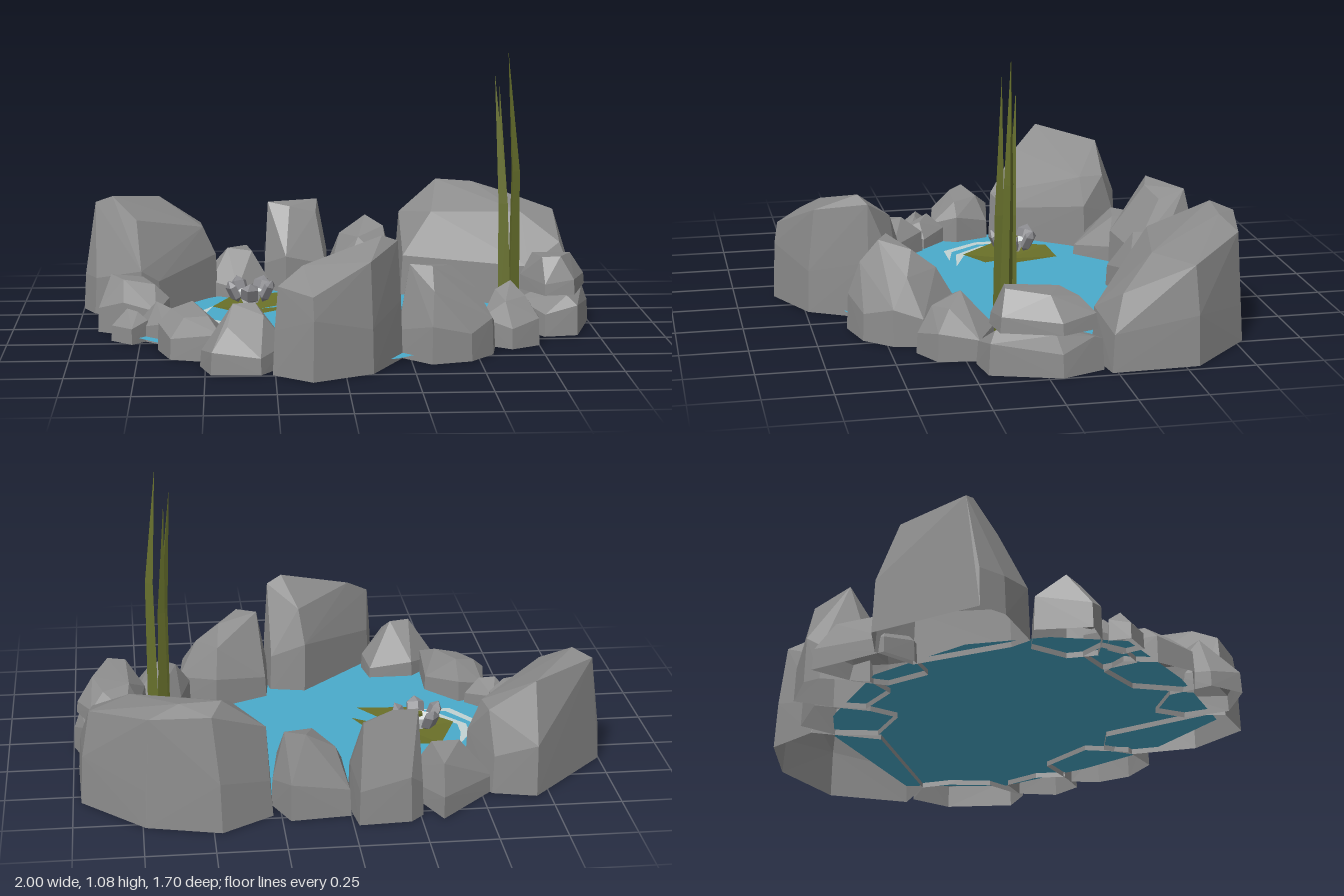
import * as THREE from 'three';
import { ConvexGeometry } from 'three/addons/geometries/ConvexGeometry.js';

const paint = (name, color, extra = {}) =>
  new THREE.MeshStandardMaterial({ name, color, flatShading: true, side: THREE.DoubleSide, ...extra });

export function createModel() {
  const pond = new THREE.Group();
  pond.name = 'rockPond';

  const stone = paint('stone grey', 0x8c8c8c);
  const waterBlue = paint('water blue', 0x4aabcb);
  const rippleWhite = paint('ripple white', 0xc3d3d3);
  const leafGreen = paint('leaf olive', 0x6a7029);
  const reedGreen = paint('reed olive', 0x67702c);
  const petalGrey = paint('petal grey', 0x8a8a8e);
  const petalWhite = paint('petal white', 0xe6eaea);

  const add = (name, geometry, material, parent = pond) => {
    const mesh = new THREE.Mesh(geometry, material);
    mesh.name = name;
    parent.add(mesh);
    return mesh;
  };

  // Flat polygon in the ground plane from [x, z] points
  const plate = (pts) => {
    const shape = new THREE.Shape(pts.map(([x, z]) => new THREE.Vector2(x, -z)));
    return new THREE.ShapeGeometry(shape).rotateX(-Math.PI / 2);
  };

  // Triangle mesh from corner positions and index
  const faces = (pts, index) => {
    const g = new THREE.BufferGeometry();
    g.setAttribute('position', new THREE.Float32BufferAttribute(pts.flat(), 3));
    g.setIndex(index);
    const flat = g.toNonIndexed();
    flat.computeVertexNormals();
    return flat;
  };

  // Boulder: hull of a footprint, the same outline at shoulder height, and crown points; left open below
  const rocks = new THREE.Group();
  rocks.name = 'rocks';
  pond.add(rocks);
  const rock = (name, outline, shoulder, crown, bottom = 0) => {
    const n = outline.length;
    const cx = outline.reduce((s, p) => s + p[0], 0) / n;
    const cz = outline.reduce((s, p) => s + p[1], 0) / n;
    const pts = crown.map((p) => new THREE.Vector3(...p));
    outline.forEach(([x, z], i) => {
      const k = 0.97;
      pts.push(new THREE.Vector3(x, bottom, z));
      const y = bottom + shoulder * (0.85 + 0.3 * (i % 2));
      pts.push(new THREE.Vector3(cx + (x - cx) * k, y, cz + (z - cz) * k));
    });
    const hull = new ConvexGeometry(pts).getAttribute('position');
    const kept = [];
    for (let i = 0; i < hull.count; i += 3) {
      const top = Math.max(hull.getY(i), hull.getY(i + 1), hull.getY(i + 2));
      if (bottom === 0 && top < 1e-4) continue;
      for (let j = i; j < i + 3; j++) kept.push([hull.getX(j), hull.getY(j), hull.getZ(j)]);
    }
    add(name, faces(kept, kept.map((_, i) => i)), stone, rocks);
  };

  // Back row
  rock('backLeftBoulder',
    [[-1, -0.36], [-0.7, -0.67], [-0.54, -0.63], [-0.46, -0.48], [-0.69, -0.18], [-0.76, -0.13], [-0.95, -0.26]], 0.17,
    [[-0.95, 0.43, -0.4], [-0.88, 0.46, -0.36], [-0.7, 0.42, -0.58], [-0.53, 0.31, -0.57], [-0.52, 0.31, -0.47], [-0.78, 0.38, -0.25]]);
  rock('backLowRock',
    [[-0.55, -0.6], [-0.33, -0.82], [-0.26, -0.66], [-0.25, -0.53], [-0.38, -0.41], [-0.49, -0.48]], 0.07,
    [[-0.34, 0.18, -0.74], [-0.42, 0.2, -0.58], [-0.32, 0.19, -0.56]]);
  rock('backTallRock',
    [[-0.26, -0.78], [-0.21, -0.83], [-0.02, -0.84], [0, -0.69], [-0.01, -0.57], [-0.18, -0.51], [-0.27, -0.6]], 0.15,
    [[-0.25, 0.375, -0.68], [-0.16, 0.36, -0.65], [-0.04, 0.37, -0.78], [-0.05, 0.33, -0.68]]);
  rock('backMiddleRock',
    [[0, -0.76], [0.22, -0.78], [0.28, -0.64], [0.25, -0.48], [0.05, -0.44], [0.01, -0.55]], 0.12,
    [[0.05, 0.24, -0.68], [0.16, 0.31, -0.72], [0.23, 0.28, -0.62], [0.12, 0.25, -0.53]]);
  rock('backRightBoulder',
    [[0.28, -0.73], [0.47, -0.85], [0.74, -0.78], [0.97, -0.55], [0.98, -0.23], [0.79, -0.2], [0.64, -0.29], [0.29, -0.46]], 0.16,
    [[0.3, 0.33, -0.68], [0.46, 0.46, -0.73], [0.61, 0.45, -0.72], [0.5, 0.43, -0.81], [0.72, 0.41, -0.76],
      [0.93, 0.36, -0.54], [0.78, 0.37, -0.42], [0.42, 0.36, -0.5], [0.92, 0.27, -0.28]]);

  // Right side, with a slab lying on a flat base
  const side = [[0.79, -0.2], [0.94, -0.21], [1, -0.05], [0.92, 0.2], [0.79, 0.22], [0.7, 0.06], [0.73, -0.1]];
  rock('rightBaseRock', side, 0.1, [[0.95, 0.13, -0.17], [0.97, 0.15, -0.03], [0.88, 0.15, 0.17], [0.76, 0.14, 0.05]]);
  rock('rightSlab', side.map(([x, z]) => [0.84 + (x - 0.84) * 0.9, z * 0.84 - 0.01]), 0.05,
    [[0.79, 0.29, 0.12], [0.86, 0.295, 0.13], [0.92, 0.28, -0.02], [0.88, 0.26, -0.13], [0.78, 0.27, -0.08]], 0.15);
  rock('rightSmallRock',
    [[0.57, 0.22], [0.68, 0.13], [0.77, 0.2], [0.75, 0.35], [0.64, 0.41], [0.53, 0.33]], 0.09,
    [[0.59, 0.2, 0.27], [0.65, 0.23, 0.25], [0.7, 0.18, 0.3], [0.62, 0.17, 0.35]]);

  // Front row
  rock('frontRightRock',
    [[0.22, 0.33], [0.43, 0.23], [0.58, 0.37], [0.56, 0.48], [0.47, 0.58], [0.32, 0.62], [0.2, 0.5]], 0.12,
    [[0.25, 0.34, 0.46], [0.33, 0.34, 0.5], [0.41, 0.32, 0.39], [0.5, 0.24, 0.42], [0.42, 0.25, 0.3], [0.33, 0.26, 0.57]]);
  rock('frontBoulder',
    [[-0.24, 0.67], [0.06, 0.37], [0.2, 0.4], [0.22, 0.52], [0.1, 0.74], [-0.12, 0.85], [-0.26, 0.74]], 0.19,
    [[-0.24, 0.32, 0.73], [-0.12, 0.3, 0.83], [0.09, 0.4, 0.71], [0.2, 0.44, 0.52], [0.14, 0.465, 0.55],
      [-0.15, 0.38, 0.66], [0.08, 0.36, 0.42]]);
  rock('frontSmallRock',
    [[-0.52, 0.6], [-0.4, 0.48], [-0.22, 0.48], [-0.2, 0.6], [-0.3, 0.74], [-0.48, 0.73]], 0.07,
    [[-0.4, 0.23, 0.6], [-0.32, 0.23, 0.58], [-0.29, 0.19, 0.62], [-0.42, 0.16, 0.67]]);

  // Left side
  rock('leftFrontRock',
    [[-0.66, 0.23], [-0.55, 0.19], [-0.43, 0.33], [-0.44, 0.56], [-0.63, 0.5], [-0.68, 0.35]], 0.09,
    [[-0.63, 0.15, 0.32], [-0.55, 0.17, 0.28], [-0.49, 0.15, 0.45], [-0.58, 0.14, 0.43]]);
  rock('leftPebble', [[-0.76, 0.12], [-0.67, 0.08], [-0.57, 0.18], [-0.66, 0.28], [-0.73, 0.22]], 0.07,
    [[-0.69, 0.14, 0.15], [-0.63, 0.12, 0.19]]);
  rock('leftOuterPebble', [[-0.86, 0.2], [-0.82, 0.13], [-0.74, 0.15], [-0.72, 0.21], [-0.78, 0.27]], 0.07,
    [[-0.8, 0.12, 0.18], [-0.76, 0.11, 0.19]]);
  rock('leftRock', [[-0.92, 0.05], [-0.85, -0.14], [-0.69, -0.11], [-0.64, 0.03], [-0.69, 0.13], [-0.82, 0.11]], 0.11,
    [[-0.87, 0.21, -0.03], [-0.75, 0.19, -0.07], [-0.7, 0.18, 0.03], [-0.82, 0.2, 0.03]]);

  // Water surface
  add('water', plate([[0.84, -0.26], [0.35, -0.63], [0.14, -0.67], [-0.29, -0.59], [-0.63, -0.33], [-0.76, -0.06],
    [-0.79, 0.21], [-0.51, 0.49], [-0.16, 0.74], [0.2, 0.6], [0.47, 0.4], [0.75, 0.13]]), waterBlue).position.y = 0.02;

  // Ripples: tapered bands just above the water
  [
    [[-0.53, -0.24], [-0.6, -0.13], [-0.6, -0.04], [-0.5, 0.11], [-0.36, 0.11], [-0.48, 0.08], [-0.565, -0.04], [-0.565, -0.12]],
    [[-0.48, -0.25], [-0.54, -0.14], [-0.54, -0.05], [-0.44, 0.07], [-0.28, 0.095], [-0.42, 0.04], [-0.505, -0.05], [-0.505, -0.13]],
  ].forEach((pts) => { add('ripple', plate(pts), rippleWhite).position.y = 0.027; });

  // Notched lily pad, rim raised above its centre
  const rim = [[-0.08, 0.09, -0.09], [-0.2, 0.07, -0.3], [-0.4, 0.06, -0.3], [-0.48, 0.06, -0.1], [-0.33, 0.06, 0.06], [-0.11, 0.09, 0.01]];
  add('lilyPad', faces([[-0.29, 0.045, -0.12], ...rim], rim.slice(1).flatMap((_, i) => [0, i + 1, i + 2])), leafGreen);

  // Lily flower: five cupped petals round a pale heart
  const flower = new THREE.Group();
  flower.name = 'lilyFlower';
  flower.position.set(-0.33, 0.06, -0.145);
  pond.add(flower);
  for (let i = 0; i < 5; i++) {
    const petal = new THREE.SphereGeometry(0.045, 5, 3).scale(0.95, 1.1, 0.55);
    const holder = new THREE.Group();
    holder.name = 'petal';
    holder.rotation.y = (i * 2 * Math.PI) / 5;
    flower.add(holder);
    const mesh = add('petalBlade', petal, petalGrey, holder);
    mesh.position.set(0, 0.055, 0.07);
    mesh.rotation.x = 0.45;
  }
  add('flowerHeart', new THREE.CylinderGeometry(0.055, 0.03, 0.05, 5), petalWhite, flower).position.y = 0.03;
  add('flowerCentre', new THREE.CylinderGeometry(0.022, 0.022, 0.012, 6), leafGreen, flower).position.y = 0.06;

  // Reeds: three-sided blades through root, bend and tip
  const reeds = new THREE.Group();
  reeds.name = 'reeds';
  pond.add(reeds);
  const blade = (root, bend, tip, width) => {
    const ring = ([x, y, z], r) => [0, 1, 2].map((i) => {
      const a = (i * 2 * Math.PI) / 3 + root[0] * 40;
      return [x + r * Math.cos(a), y, z + r * Math.sin(a)];
    });
    const index = [];
    for (let i = 0; i < 3; i++) {
      const j = (i + 1) % 3;
      index.push(i, i + 3, j, j, i + 3, j + 3, i + 3, 6, j + 3);
    }
    add('reedBlade', faces([...ring(root, width), ...ring(bend, width * 0.7), tip], index), reedGreen, reeds);
  };
  blade([0.65, 0.02, 0.115], [0.64, 0.5, 0.11], [0.602, 1, 0.09], 0.03);
  blade([0.68, 0.02, 0.09], [0.685, 0.62, 0.08], [0.656, 1.08, 0.068], 0.028);
  blade([0.655, 0.02, 0.07], [0.65, 0.5, 0.065], [0.626, 0.955, 0.045], 0.026);

  return pond;
}
